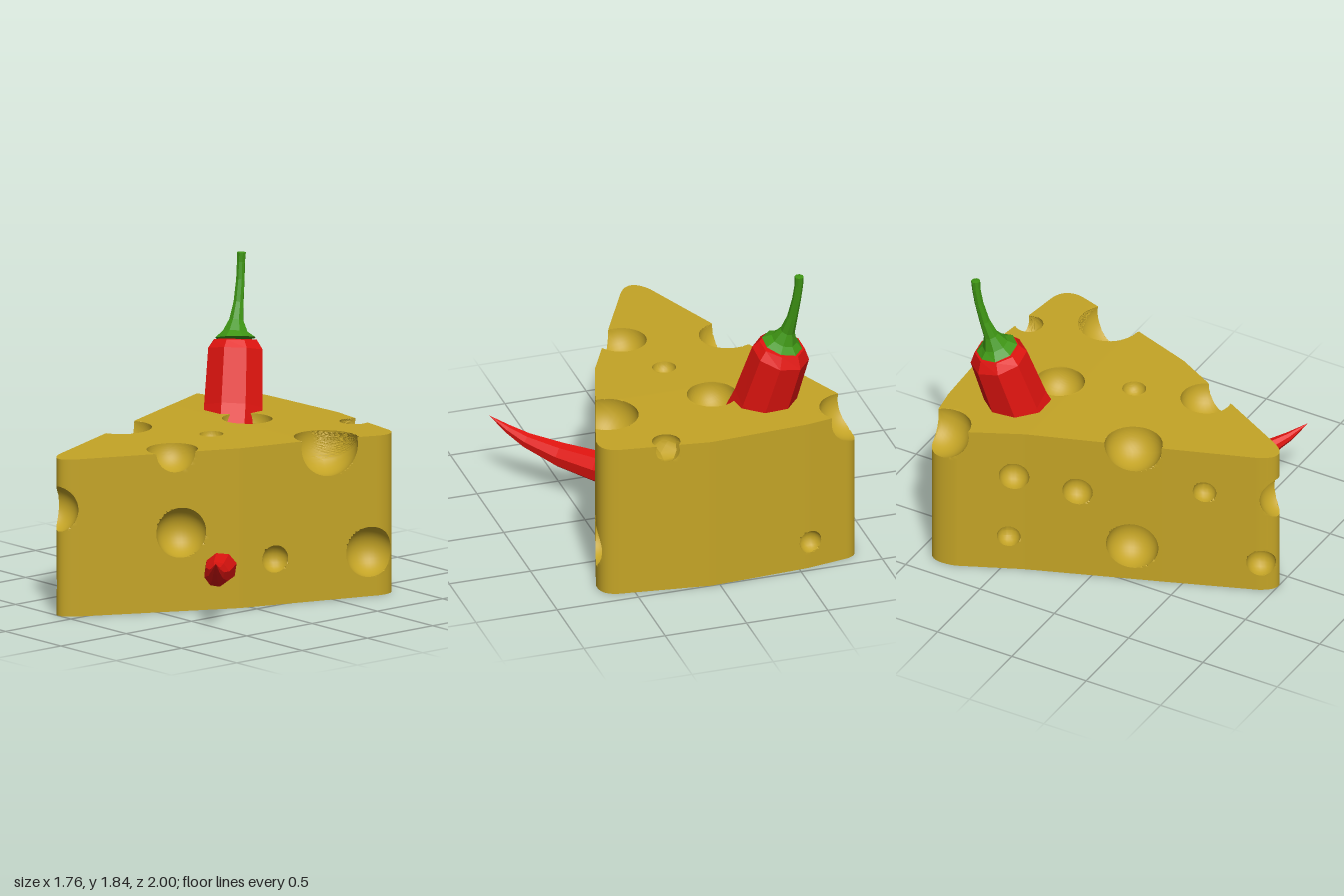
import * as THREE from 'three';
import { toCreasedNormals } from 'three/addons/utils/BufferGeometryUtils.js';

const V = (x, y, z) => new THREE.Vector3(x, y, z);
const material = (color, flatShading = false) => new THREE.MeshStandardMaterial({ color, flatShading });

// Index a grid of rows x cols that wraps around in the column direction
function gridGeometry(points, rows, cols) {
  const index = [];
  for (let j = 0; j < rows - 1; j++) {
    for (let i = 0; i < cols; i++) {
      const n = (i + 1) % cols;
      const a = j * cols + i, b = j * cols + n, c = b + cols, d = a + cols;
      index.push(a, d, c, a, c, b);
    }
  }
  const geometry = new THREE.BufferGeometry().setFromPoints(points);
  geometry.setIndex(index);
  return geometry;
}

// Outward directions of the wedge faces
const UP = [0, 1, 0], R = [0.9, 0, 0.45], L = [-0.93, 0, 0.37];
const RU = [1.17, 1, 0.58], LU = [-0.93, 1, 0.37];

// Round holes: centre, radius, direction they open towards
const HOLES = [
  [[-0.11, 0.64, 1.03], 0.138, [0, 0, 1]],
  [[0.27, 0.47, 0.38], 0.15, R],
  [[0.49, 0.275, -0.15], 0.082, R],
  [[0.675, 0.265, -0.72], 0.15, R],
  [[0.16, 0.95, 0.36], 0.15, RU],
  [[0.53, 0.92, -0.5], 0.19, RU],
  [[0.3, 0.92, -0.91], 0.09, [0.14, 0.7, -1]],
  [[-0.84, 0.92, -0.84], 0.17, [-0.12, 0.07, -0.08]],
  [[-0.45, 0.94, 0.22], 0.17, LU],
  [[-0.13, 0.95, -0.46], 0.148, UP],
  [[0.03, 0.96, -0.05], 0.07, UP],
  [[-0.72, 0.66, -0.43], 0.09, L],
  [[-0.585, 0.59, -0.08], 0.09, L],
  [[-0.315, 0.665, 0.62], 0.07, L],
  [[-0.465, 0.235, 0.22], 0.155, L],
  [[-0.73, 0.23, -0.46], 0.07, L],
  [[-0.19, 0.19, 0.93], 0.088, [-0.85, 0, 0.5]],
  [[-0.57, 0.17, -0.97], 0.07, [-0.12, 0, -1]],
].map(([c, r, out]) => {
  const centre = V(...c);
  const eye = V(...out).normalize().multiplyScalar(r * 0.97).add(centre);
  return { centre, r, eye };
});

// Press a surface point into any hole that covers it; points by a rim move onto the rim
function carve(p, normal) {
  for (const { centre, r, eye } of HOLES) {
    const offset = p.clone().sub(centre);
    if (offset.length() > r + 0.02) continue;
    if (normal) {
      const d = offset.dot(normal);
      const flat = offset.clone().addScaledVector(normal, -d);
      const rim = Math.sqrt(Math.max(r * r - d * d, 0));
      if (rim > 0 && Math.abs(flat.length() - rim) < 0.0075) {
        p.copy(centre).addScaledVector(normal, d).add(flat.setLength(rim));
        continue;
      }
    }
    if (offset.length() >= r) continue;
    // follow the ray from the eye to the far side of the sphere
    const dir = p.clone().sub(eye).normalize();
    const e = eye.clone().sub(centre);
    const b = e.dot(dir);
    const t = -b + Math.sqrt(b * b - e.lengthSq() + r * r);
    p.copy(eye).addScaledVector(dir, t);
  }
  return p;
}

// Wedge of cheese: one grid running up the walls and inwards over the top
function cheeseGeometry() {
  const shape = new THREE.Shape();
  shape.moveTo(-0.8, -0.93);
  shape.lineTo(-0.55, -0.97);
  shape.lineTo(0.05, -1);
  shape.lineTo(0.6, -0.925);
  shape.quadraticCurveTo(0.71, -0.9, 0.69, -0.78);
  shape.lineTo(0.42, 0.06);
  shape.lineTo(-0.02, 0.92);
  shape.quadraticCurveTo(-0.11, 1.08, -0.2, 0.92);
  shape.lineTo(-0.41, 0.38);
  shape.lineTo(-0.7, -0.38);
  shape.lineTo(-0.865, -0.74);
  shape.quadraticCurveTo(-0.91, -0.91, -0.8, -0.93);

  const cols = 420, wallRows = 68, topRows = 62;
  const outline = shape.getSpacedPoints(cols).slice(0, cols);
  const topY = (z) => 0.965 - 0.018 * Math.abs(z + 0.35);
  const hub = new THREE.Vector2(-0.1, -0.25);
  const up = V(0, 1, 0);
  const points = outline.map(() => V(hub.x, 0, hub.y)); // bottom centre

  for (let j = 0; j <= wallRows; j++) {
    outline.forEach((o, i) => {
      const a = outline[(i + cols - 1) % cols], b = outline[(i + 1) % cols];
      const normal = V(b.y - a.y, 0, a.x - b.x).normalize();
      const edge = j === 0 || j === wallRows;
      points.push(carve(V(o.x, topY(o.y) * j / wallRows, o.y), edge ? null : normal));
    });
  }
  for (let k = 1; k <= topRows; k++) {
    for (const o of outline) {
      const q = o.clone().lerp(hub, k / topRows);
      points.push(carve(V(q.x, topY(q.y), q.y), up));
    }
  }
  return toCreasedNormals(gridGeometry(points, wallRows + topRows + 2, cols), 0.55);
}

// Faceted tapering body through sections [x, y, z, radius]
function sweep(sections, sides) {
  const centres = sections.map(([x, y, z]) => V(x, y, z));
  const last = centres.length - 1;
  const side = V(1, 0, 0);
  const points = [];
  centres.forEach((c, i) => {
    const tangent = centres[Math.min(i + 1, last)].clone().sub(centres[Math.max(i - 1, 0)]).normalize();
    side.addScaledVector(tangent, -side.dot(tangent)).normalize();
    const other = side.clone().cross(tangent);
    for (let s = 0; s < sides; s++) {
      const angle = (s + 0.5) / sides * Math.PI * 2, r = sections[i][3];
      points.push(c.clone()
        .addScaledVector(side, r * Math.cos(angle))
        .addScaledVector(other, r * Math.sin(angle)));
    }
  });
  return gridGeometry(points, sections.length, sides).toNonIndexed();
}

export function createModel() {
  const model = new THREE.Group();
  model.name = 'cheeseWithChili';
  const add = (name, geometry, mat, parent = model) => {
    if (!geometry.attributes.normal) geometry.computeVertexNormals();
    const mesh = new THREE.Mesh(geometry, mat);
    mesh.name = name;
    parent.add(mesh);
  };

  add('cheeseWedge', cheeseGeometry(), material(0xc4a426));

  // Chili pepper: enters the top, bends inside and its tip leaves the side
  const chili = new THREE.Group();
  chili.name = 'chili';
  model.add(chili);
  add('chiliBody', sweep([
    [-0.493, 1.35, -0.678, 0], [-0.49, 1.342, -0.675, 0.135], [-0.483, 1.285, -0.668, 0.172],
    [-0.41, 0.96, -0.59, 0.185], [-0.33, 0.72, -0.5, 0.185], [-0.2, 0.5, -0.36, 0.165],
    [0, 0.34, -0.18, 0.135], [0.2, 0.26, 0, 0.11], [0.36, 0.245, 0.16, 0.095],
    [0.54, 0.265, 0.34, 0.075], [0.7, 0.315, 0.48, 0.047], [0.79, 0.365, 0.56, 0.027],
    [0.88, 0.43, 0.635, 0],
  ], 8), material(0xe0140f, true), chili);

  // Green cap flaring out of the stem
  add('chiliStem', sweep([
    [-0.486, 1.33, -0.672, 0], [-0.491, 1.352, -0.676, 0.125], [-0.5, 1.385, -0.683, 0.078],
    [-0.515, 1.45, -0.703, 0.044], [-0.533, 1.55, -0.735, 0.031], [-0.55, 1.68, -0.763, 0.026],
    [-0.56, 1.78, -0.776, 0.025], [-0.56, 1.837, -0.78, 0.027], [-0.56, 1.841, -0.78, 0],
  ], 8), material(0x3f9614, true), chili);

  return model;
}
